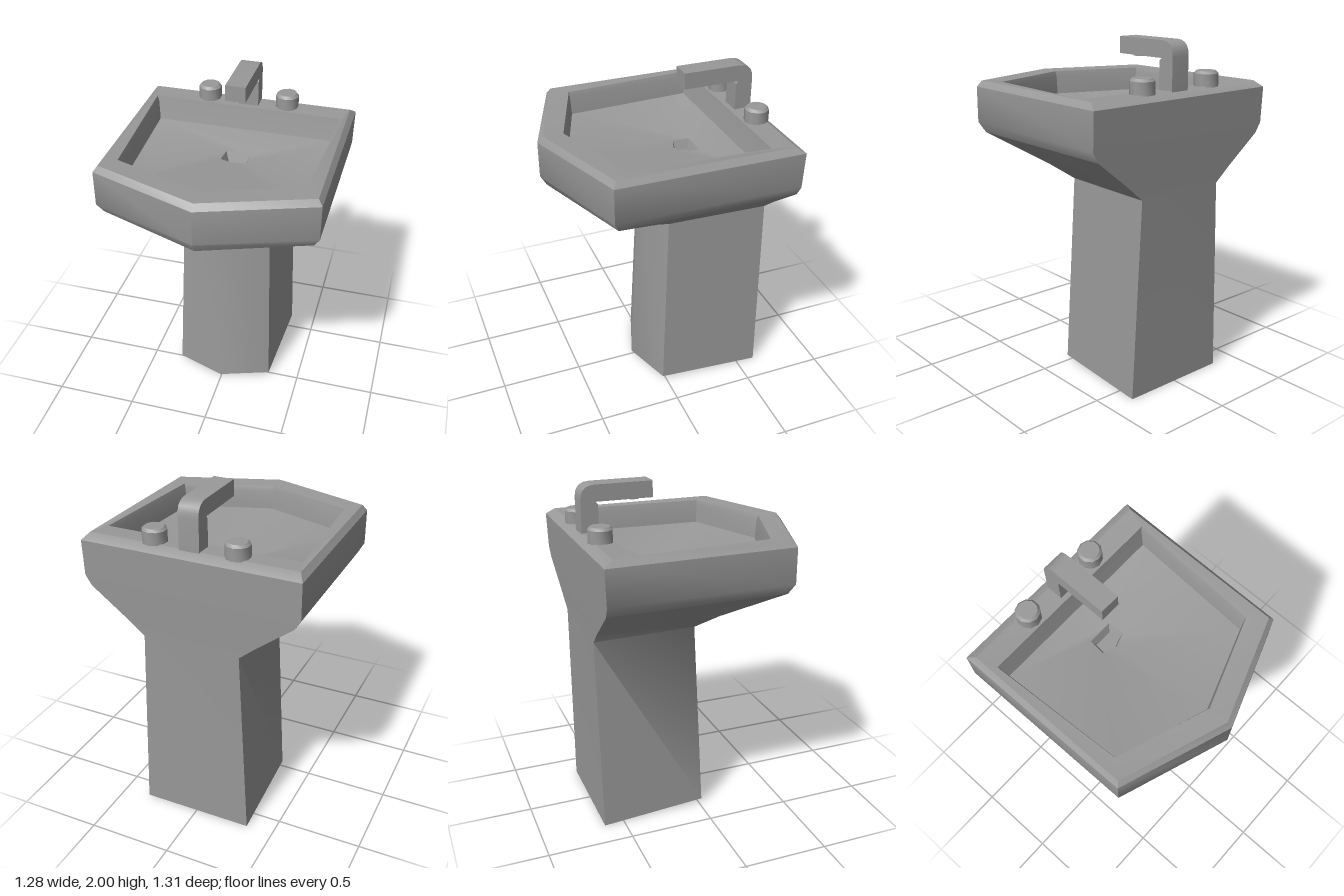
import * as THREE from 'three';
import { toCreasedNormals } from 'three/addons/utils/BufferGeometryUtils.js';

const material = new THREE.MeshStandardMaterial({ color: 0x999999 });
const shellMaterial = new THREE.MeshStandardMaterial({ color: 0x999999, side: THREE.DoubleSide });

// Five-sided outline: straight back, two sides, pointed front.
function ring(y, backW, backZ, sideW, sideZ, tipZ, tipLift = 0) {
  const yf = y + tipLift;
  return [
    [backW, y, backZ], [sideW, yf, sideZ], [0, yf, tipZ],
    [-sideW, yf, sideZ], [-backW, y, backZ],
  ];
}

// Skin consecutive rings, optionally closing the last one.
function loft(rings, crease, capEnd = false) {
  const pos = [];
  const tri = (a, b, c) => pos.push(...a, ...b, ...c);
  for (let i = 0; i < rings.length - 1; i++) {
    const lo = rings[i], hi = rings[i + 1], n = lo.length;
    for (let j = 0; j < n; j++) {
      const k = (j + 1) % n;
      tri(lo[j], hi[j], hi[k]);
      tri(lo[j], hi[k], lo[k]);
    }
  }
  if (capEnd) {
    const r = rings[rings.length - 1];
    for (let j = 1; j < r.length - 1; j++) tri(r[0], r[j + 1], r[j]);
  }
  const geo = new THREE.BufferGeometry();
  geo.setAttribute('position', new THREE.Float32BufferAttribute(pos, 3));
  return toCreasedNormals(geo, crease);
}

function add(parent, name, geometry, mat = material) {
  const mesh = new THREE.Mesh(geometry, mat);
  mesh.name = name;
  parent.add(mesh);
  return mesh;
}

export function createModel() {
  const model = new THREE.Group();
  model.name = 'pedestalSink';

  // Pedestal, open at the floor, flaring out smoothly under the basin
  const underRim = ring(1.43, 0.605, -0.645, 0.6, 0.4, 0.62);
  add(model, 'pedestal', loft([
    ring(0.003, 0.337, -0.62, 0.307, 0.02, 0.125, 0.022),
    ring(1.175, 0.29, -0.632, 0.268, -0.02, 0.072),
    ring(1.265, 0.395, -0.637, 0.38, 0.09, 0.2),
    underRim,
  ], 0.9), shellMaterial);

  // Basin: outer wall, then bevelled top, sunken bowl and drain recess
  const basin = new THREE.Group();
  basin.name = 'basin';
  model.add(basin);
  const rimEdge = ring(1.70, 0.642, -0.655, 0.632, 0.43, 0.655);
  add(basin, 'outerWall', loft([
    underRim,
    ring(1.49, 0.64, -0.648, 0.632, 0.43, 0.655),
    rimEdge,
  ], 0.72), shellMaterial);
  add(basin, 'bowl', loft([
    rimEdge,
    ring(1.735, 0.612, -0.602, 0.607, 0.412, 0.625),
    ring(1.73, 0.575, -0.48, 0.527, 0.318, 0.505),
    ring(1.70, 0.565, -0.475, 0.52, 0.315, 0.495),
    ring(1.59, 0.552, -0.452, 0.51, 0.31, 0.487),
    ring(1.52, 0.075, -0.285, 0.083, -0.185, -0.155),
    ring(1.46, 0.055, -0.265, 0.06, -0.195, -0.175),
  ], 0.6, true), shellMaterial);

  // Tap: side profile (z, y) extruded across the width
  const tap = new THREE.Group();
  tap.name = 'tap';
  tap.position.x = 0.003;
  model.add(tap);
  const profile = new THREE.Shape();
  profile.moveTo(-0.61, 1.72);
  profile.lineTo(-0.51, 1.72);
  profile.lineTo(-0.51, 1.89);
  profile.lineTo(-0.525, 1.905);
  profile.lineTo(-0.19, 1.905);
  profile.lineTo(-0.19, 2.0);
  profile.lineTo(-0.525, 2.0);
  profile.quadraticCurveTo(-0.61, 2.0, -0.61, 1.915);
  profile.closePath();
  const spout = new THREE.ExtrudeGeometry(profile, { depth: 0.12, bevelEnabled: false, curveSegments: 5 });
  spout.translate(0, 0, -0.06);
  spout.rotateY(-Math.PI / 2);
  add(tap, 'spout', toCreasedNormals(spout, 0.6));

  // Outlet under the spout
  const outlet = new THREE.CylinderGeometry(0.038, 0.038, 0.02, 10);
  add(tap, 'outlet', toCreasedNormals(outlet, 0.7)).position.set(0, 1.906, -0.29);

  // Ten-sided knobs with a chamfered top
  const knobProfile = [[0, 0], [0.07, 0], [0.07, 0.073], [0.056, 0.088], [0, 0.088]]
    .map(([r, y]) => new THREE.Vector2(r, y));
  const knobGeo = toCreasedNormals(new THREE.LatheGeometry(knobProfile, 10), 0.7);
  for (const side of [1, -1]) {
    const knob = add(model, side > 0 ? 'leftKnob' : 'rightKnob', knobGeo);
    knob.position.set(side * 0.243 - 0.01, 1.73, -0.56);
  }

  return model;
}
